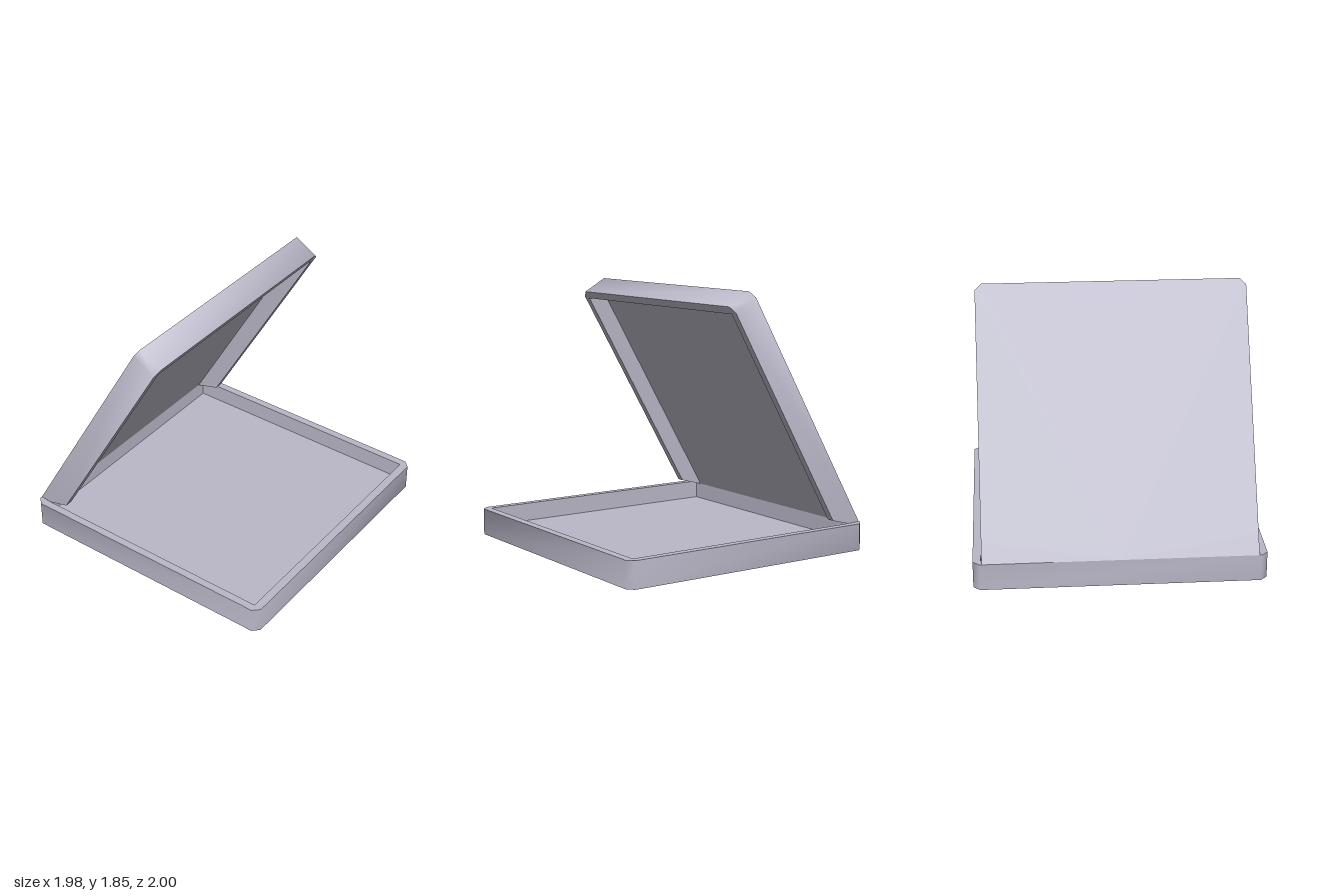
import * as THREE from 'three';
import { mergeGeometries, toCreasedNormals } from 'three/addons/utils/BufferGeometryUtils.js';

// Skin between two closed rings of [x, y, z] points, skipping collapsed triangles
function band(a, b, crease) {
  const pos = [];
  const tri = (...points) => {
    const [p, q, r] = points.map((c) => new THREE.Vector3(...c));
    if (new THREE.Triangle(p, q, r).getArea() > 1e-7) for (const c of points) pos.push(...c);
  };
  for (let i = 0; i < a.length; i++) {
    const j = (i + 1) % a.length;
    tri(a[i], a[j], b[j]);
    tri(a[i], b[j], b[i]);
  }
  const g = new THREE.BufferGeometry();
  g.setAttribute('position', new THREE.Float32BufferAttribute(pos, 3));
  return toCreasedNormals(g, crease);
}

// Hollow shell from successive rings; only the outer wall is smoothed round its corners
function shell(name, rings, smoothBand, material) {
  const parts = [];
  for (let i = 0; i < rings.length - 1; i++) {
    parts.push(band(rings[i], rings[i + 1], i === smoothBand ? 0.85 : 0.2));
  }
  const mesh = new THREE.Mesh(mergeGeometries(parts), material);
  mesh.name = name;
  return mesh;
}

export function createModel() {
  const model = new THREE.Group();
  model.name = 'openBox';
  const grey = new THREE.MeshStandardMaterial({ color: 0xbab8c8 });
  grey.name = 'lilac grey';
  const atHeight = (loop, y) => loop.map(([x, z]) => [x, y, z]);

  // Base tray: bevelled outer corners, square inner corners
  const X = 0.99, Z = 1, c = 0.045, ix = 0.93, iz = 0.945;
  const outer = [
    [-X + c, Z], [X - c, Z], [X, Z - c], [X, -Z + c],
    [X - c, -Z], [-X + c, -Z], [-X, -Z + c], [-X, Z - c],
  ];
  const inner = outer.map(([x, z]) => [Math.sign(x) * ix, Math.sign(z) * iz]);
  const centre = outer.map(() => [0, 0]);
  model.add(shell('base', [
    atHeight(centre, 0), atHeight(outer, 0), atHeight(outer, 0.19),
    atHeight(inner, 0.19), atHeight(inner, 0.06), atHeight(centre, 0.06),
  ], 1, grey));

  // Lid: x runs from hinge to free edge, the hollow side faces -y
  const L = 1.92, W = 0.94, H = 0.19, T = 0.06, w = 0.885, l = L - 0.058;
  // Mirror the half ring listed from hinge to free edge
  const mirrored = (half) => [...half, ...half.map(([x, y, z]) => [x, y, -z]).reverse()];
  const floorInner = mirrored([[0.02, -T, w], [0.15, -T, w], [l, -T, w], [l, -T, w]]);
  const rimInner = mirrored([[0.02, -T, w], [0.15, -H, w], [l, -H, w], [l, -H, w]]);
  const rimOuter = mirrored([[0.02, -T, W], [0.15, -H, W], [L - c, -H, W], [L, -H, W - c]]);
  const backOuter = mirrored([[0, 0, W], [0.15, 0, W], [L - c, 0, W], [L, 0, W - c]]);
  const lid = shell('lid', [
    floorInner.map(() => [0.02, -T, 0]), floorInner, rimInner,
    rimOuter, backOuter, backOuter.map(() => [0, 0, 0]),
  ], 3, grey);
  lid.position.set(-X, 0.19, 0);
  lid.rotation.z = Math.PI / 3;
  model.add(lid);

  return model;
}
